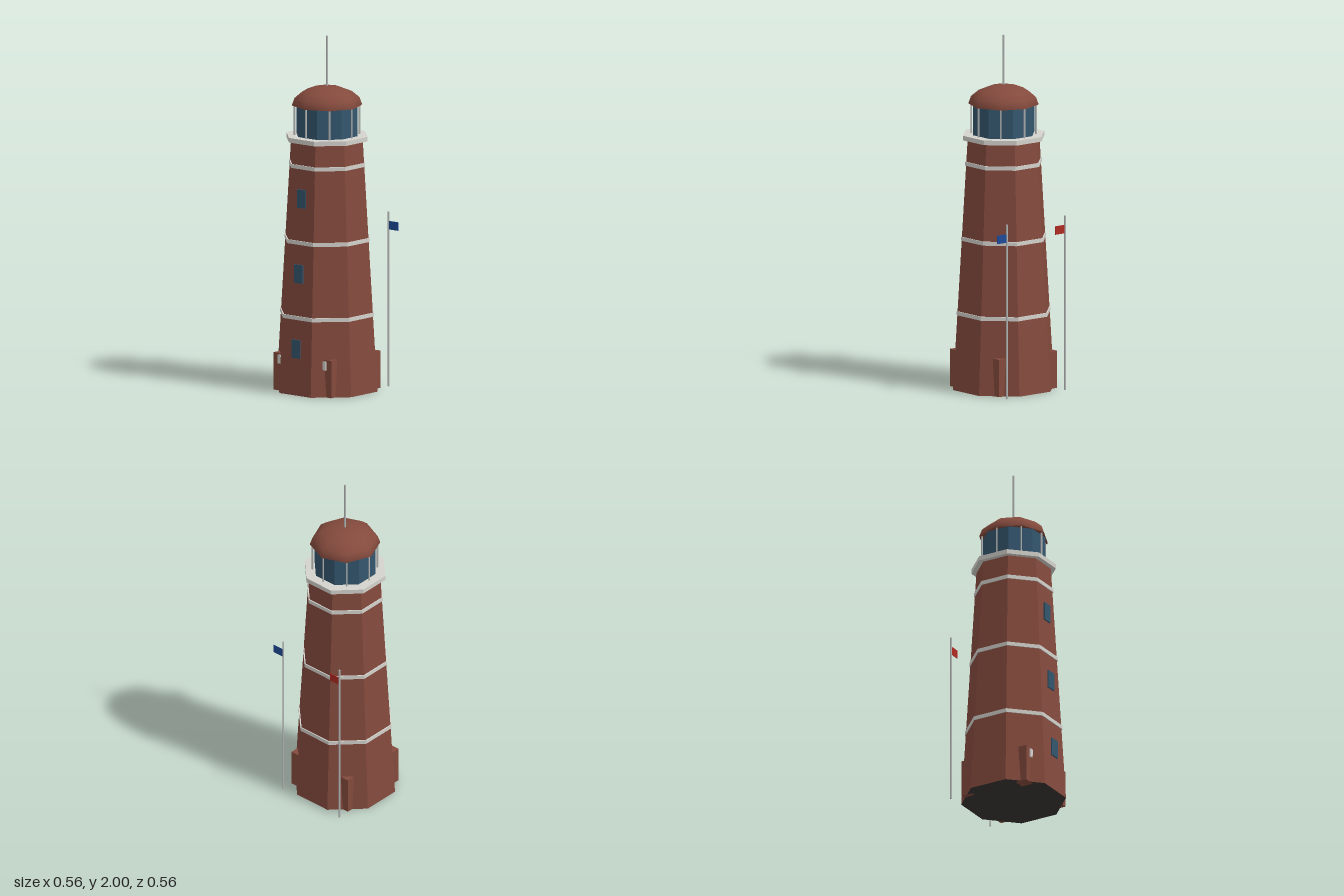
import * as THREE from 'three';

const mat = (name, color, extra = {}) => {
  const m = new THREE.MeshStandardMaterial({ color, ...extra });
  m.name = name;
  return m;
};

export function createModel() {
  const brick = mat('brick', 0x844a3d, { flatShading: true });
  const roof = mat('roof brick', 0x844a3d);
  const footing = mat('dark footing', 0x383532, { flatShading: true });
  const trim = mat('pale trim', 0xd4d2cc, { flatShading: true });
  const glass = mat('blue glass', 0x34566e, { flatShading: true });
  const metal = mat('grey metal', 0xb4b6b6);
  const blue = mat('blue flag', 0x1f4a98);
  const red = mat('red flag', 0xb02a22);

  const model = new THREE.Group();
  model.name = 'lighthouse';
  const tower = new THREE.Group();
  tower.name = 'tower';
  tower.position.set(-0.005, 0, 0.006);
  model.add(tower);

  const add = (parent, name, geometry, material, x, y, z) => {
    const mesh = new THREE.Mesh(geometry, material);
    mesh.name = name;
    mesh.position.set(x, y, z);
    parent.add(mesh);
    return mesh;
  };
  // Octagonal prism sized by its flat-to-centre distance, a flat facing front
  const octagon = (name, top, bottom, y0, y1, material) => {
    const k = 1 / Math.cos(Math.PI / 8);
    const g = new THREE.CylinderGeometry(top * k, bottom * k, y1 - y0, 8).rotateY(Math.PI / 8);
    return add(tower, name, g, material, 0, (y0 + y1) / 2, 0);
  };
  const rod = (parent, name, r, x, y0, y1, z) =>
    add(parent, name, new THREE.CylinderGeometry(r, r, y1 - y0, 16), metal, x, (y0 + y1) / 2, z);
  const wall = (y) => 0.273 - 0.079 * (y / 1.415);

  // Tapered shaft with a dark underside, bands and gallery
  octagon('shaft', wall(1.415), wall(0), 0, 1.415, [brick, brick, footing]);
  for (const y of [0.435, 0.857, 1.281]) {
    octagon('band', wall(y) + 0.0055, wall(y) + 0.0055, y - 0.011, y + 0.011, trim);
  }
  octagon('gallery', 0.22, 0.22, 1.415, 1.441, trim);

  // Lantern room with posts
  octagon('lanternGlass', 0.166, 0.166, 1.441, 1.61, glass);
  for (let i = 0; i < 8; i++) {
    const a = (i * Math.PI) / 4;
    rod(tower, 'lanternPost', 0.005, 0.181 * Math.sin(a), 1.441, 1.612, 0.181 * Math.cos(a));
  }

  // Faceted dome, its underside and the mast
  const dome = new THREE.SphereGeometry(0.197, 8, 4, 0, Math.PI * 2, 0, Math.PI / 2);
  dome.scale(1, 0.56, 1);
  add(tower, 'dome', dome, roof, 0, 1.608, 0);
  add(tower, 'domeUnderside', new THREE.CircleGeometry(0.197, 8).rotateX(Math.PI / 2), roof, 0, 1.608, 0);
  rod(tower, 'mast', 0.005, 0, 1.71, 2, 0);

  // Front windows
  for (const y of [0.262, 0.684, 1.106]) {
    add(tower, 'window', new THREE.BoxGeometry(0.062, 0.104, 0.008), glass, 0, y, wall(y) + 0.008);
  }

  // Corner buttresses, with pale plaques on the front pair
  for (const sx of [-1, 1]) {
    for (const sz of [-1, 1]) {
      add(tower, 'buttress', new THREE.BoxGeometry(0.07, 0.212, 0.07), brick, sx * 0.176, 0.106, sz * 0.176);
    }
    add(tower, 'plaque', new THREE.BoxGeometry(0.024, 0.05, 0.009), trim, sx * 0.165, 0.178, 0.214);
  }

  // Two flagpoles behind the tower
  for (const [x, cloth] of [[-0.216, red], [0.206, blue]]) {
    rod(model, 'flagpole', 0.005, x, 0, 0.99, -0.275);
    add(model, 'flag', new THREE.BoxGeometry(0.07, 0.048, 0.003), cloth, x + 0.036, 0.913, -0.275);
  }
  return model;
}
